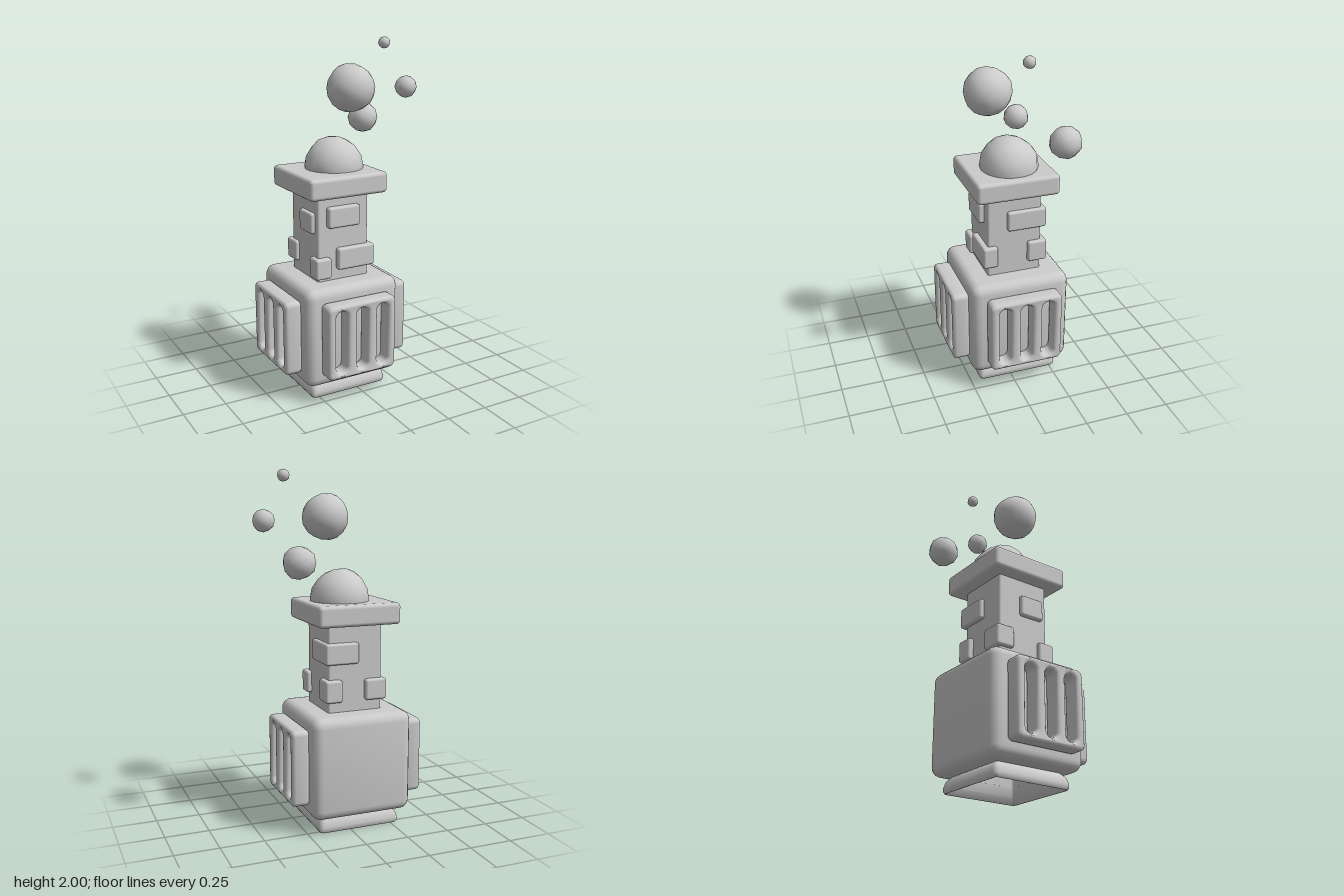
import * as THREE from 'three';
import { toCreasedNormals } from 'three/addons/utils/BufferGeometryUtils.js';
import { RoundedBoxGeometry } from 'three/addons/geometries/RoundedBoxGeometry.js';

const CX = -0.055, CZ = -0.045; // axis of the building
const grey = new THREE.MeshStandardMaterial({ color: 0xcccccc });

export function createModel() {
  const model = new THREE.Group();
  const add = (name, geometry, x, y, z) => {
    const mesh = new THREE.Mesh(geometry, grey);
    mesh.name = name;
    mesh.position.set(x, y, z);
    model.add(mesh);
    return mesh;
  };

  // Rounded-square rings [half width, height, corner radius] joined into a skin
  function loft(rings) {
    const pos = [], index = [], steps = 4, n = 4 * (steps + 1);
    for (const [h, y, r] of rings) {
      for (let c = 0; c < 4; c++) {
        for (let s = 0; s <= steps; s++) {
          const mid = Math.PI / 4 + c * Math.PI / 2;
          const a = (c + s / steps) * Math.PI / 2;
          const k = (h - r) * Math.SQRT2;
          pos.push(k * Math.cos(mid) + r * Math.cos(a), y, -k * Math.sin(mid) - r * Math.sin(a));
        }
      }
    }
    for (let i = 0; i < rings.length - 1; i++) {
      for (let j = 0; j < n; j++) {
        const a = i * n + j, b = i * n + (j + 1) % n;
        index.push(a, b, b + n, a, b + n, a + n);
      }
    }
    const g = new THREE.BufferGeometry();
    g.setAttribute('position', new THREE.Float32BufferAttribute(pos, 3));
    g.setIndex(index);
    return toCreasedNormals(g, 0.7);
  }

  // Flared foot, open underneath
  add('baseRim', loft([
    [0.2, 0.1, 0.01], [0.203, 0.035, 0.01], [0.225, 0.002, 0.015], [0.232, 0, 0.02],
    [0.24, 0.012, 0.025], [0.24, 0.03, 0.025], [0.232, 0.06, 0.025], [0.215, 0.08, 0.02], [0.2, 0.092, 0.01],
  ]), CX, 0, CZ);

  // Hollow body: inside ceiling, inside walls, then the rounded outside
  const bodyRings = [[0.002, 0.55, 0.001], [0.2, 0.55, 0.01], [0.2, 0.09, 0.01]];
  const R = 0.055, H = 0.295;
  for (const [y, start] of [[0.09 + R, -Math.PI / 2], [0.67 - R, 0]]) {
    for (let s = 0; s <= 5; s++) {
      const a = start + s * Math.PI / 10;
      const out = R * Math.cos(a);
      bodyRings.push([H - R + out, y + R * Math.sin(a), Math.max(out, 0.004)]);
    }
  }
  bodyRings.push([0.002, 0.67, 0.001]);
  add('body', loft(bodyRings), CX, 0, CZ);

  // Slotted panels on the front and both sides
  const roundedRect = (path, x0, y0, x1, y1, r) => {
    path.absarc(x1 - r, y0 + r, r, -Math.PI / 2, 0);
    path.absarc(x1 - r, y1 - r, r, 0, Math.PI / 2);
    path.absarc(x0 + r, y1 - r, r, Math.PI / 2, Math.PI);
    path.absarc(x0 + r, y0 + r, r, Math.PI, Math.PI * 1.5);
    path.closePath();
    return path;
  };
  const bevel = 0.02;
  const panelShape = roundedRect(new THREE.Shape(), -0.215, 0.165, 0.215, 0.6, 0.03);
  for (const x of [-0.13, 0, 0.13]) {
    // holes are drawn smaller because the bevel offset widens them
    panelShape.holes.push(roundedRect(new THREE.Path(), x - 0.036, 0.2, x + 0.036, 0.565, 0.035));
  }
  const panel = toCreasedNormals(new THREE.ExtrudeGeometry(panelShape, {
    depth: 0.1 - 2 * bevel, bevelEnabled: true, bevelThickness: bevel, bevelSize: bevel,
    bevelOffset: -bevel, bevelSegments: 3, curveSegments: 6,
  }).translate(0, 0, 0.292 + bevel), 0.6);
  const sides = [['frontPanel', 0], ['leftPanel', Math.PI / 2], ['rightPanel', -Math.PI / 2]];
  for (const [name, turn] of sides) add(name, panel, CX, 0, CZ).rotation.y = turn;

  // Box given by its limits on each axis
  const block = (name, x0, x1, y0, y1, z0, z1, r) => add(name,
    new RoundedBoxGeometry(x1 - x0, y1 - y0, z1 - z0, 3, r),
    (x0 + x1) / 2, (y0 + y1) / 2, (z0 + z1) / 2);

  // Chimney stack and its cap
  block('chimney', -0.215, 0.105, 0.6, 1.2, -0.205, 0.115, 0.012);
  block('chimneyCap', -0.297, 0.187, 1.16, 1.28, -0.287, 0.197, 0.022);

  // Raised bricks, several wrapping a corner of the stack
  const bricks = [
    [-0.16, 0.04, 0.98, 1.1, 0.05, 0.148],
    [-0.1, 0.133, 0.73, 0.857, 0.06, 0.148],
    [-0.24, -0.143, 0.69, 0.81, 0.05, 0.148],
    [-0.07, 0.128, 0.943, 1.063, -0.232, 0],
    [0.03, 0.13, 0.73, 0.857, -0.237, -0.122],
    [-0.24, -0.15, 0.943, 1.063, -0.07, 0.08],
    [-0.238, -0.11, 0.73, 0.85, -0.234, -0.12],
  ];
  for (const b of bricks) block('brick', ...b, 0.014);

  // Slightly lumpy smoke balls
  function smoke(name, r, x, y, z, detail) {
    const g = new THREE.IcosahedronGeometry(r, detail);
    const p = g.attributes.position, v = new THREE.Vector3();
    for (let i = 0; i < p.count; i++) {
      v.fromBufferAttribute(p, i);
      const d = v.clone().divideScalar(r);
      v.multiplyScalar(1 + 0.03 * Math.sin(3 * d.x + 9 * x) * Math.cos(3 * d.y + 2 * d.z));
      p.setXYZ(i, v.x, v.y, v.z);
    }
    add(name, g, x, y, z);
  }
  smoke('smokeDome', 0.168, -0.022, 1.292, -0.055, 2);
  smoke('largeSmokePuff', 0.133, 0.012, 1.743, 0.078, 2);
  smoke('mediumSmokePuff', 0.09, 0.29, 1.515, -0.26, 1);
  smoke('smallSmokePuff', 0.063, 0.385, 1.725, 0.056, 1);
  smoke('tinySmokePuff', 0.034, 0.301, 1.968, -0.045, 1);

  return model;
}
